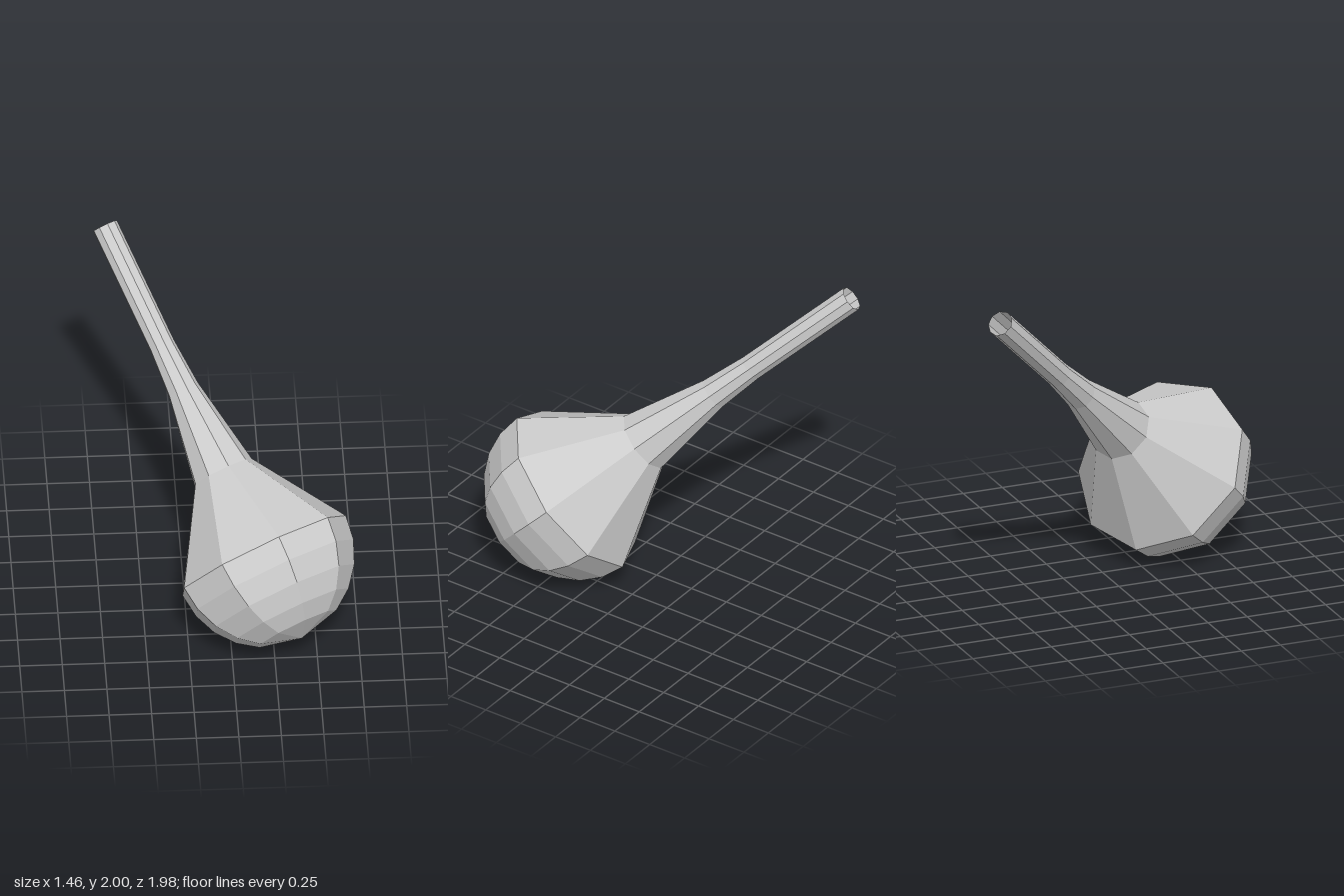
import * as THREE from 'three';

// A nine-sided round bulb with a slim open neck, turned on a tilted axis.
export function createModel() {
  const group = new THREE.Group();
  const material = new THREE.MeshStandardMaterial({
    color: 0xcccccc, flatShading: true, side: THREE.DoubleSide,
  });

  const sides = 9;
  const radius = 0.545;

  // Tilted frame: y runs up the neck, z points at one edge of the rim
  const axis = new THREE.Vector3(-0.396, 0.652, -0.645).normalize();
  const across = new THREE.Vector3().crossVectors(axis, new THREE.Vector3(0.147, 0.734, 0.651)).normalize();
  const edge = new THREE.Vector3().crossVectors(across, axis);
  const tilted = new THREE.Group();
  tilted.name = 'tiltedBody';
  tilted.quaternion.setFromRotationMatrix(new THREE.Matrix4().makeBasis(across, axis, edge));
  tilted.position.set(0.19, 0.543, 0.455);
  group.add(tilted);

  const turn = (name, profile) => {
    const points = profile.map(([r, y]) => new THREE.Vector2(r, y));
    const mesh = new THREE.Mesh(new THREE.LatheGeometry(points, sides), material);
    mesh.name = name;
    tilted.add(mesh);
  };

  // Round end: half a sphere, closing in a wide shallow fan
  turn('bowl', [90, 62, 46.5, 31, 15.5, 0].map((deg) => {
    const a = THREE.MathUtils.degToRad(deg);
    return [deg === 90 ? 0 : radius * Math.cos(a), -radius * Math.sin(a)];
  }));

  // Cone from the rim to the base of the neck
  turn('shoulder', [[radius, 0], [0.19, 0.54]]);

  // Flared neck, open at the tip
  turn('neck', [[0.19, 0.54], [0.097, 1.08], [0.078, 1.37], [0.078, 2.15]]);

  return group;
}
